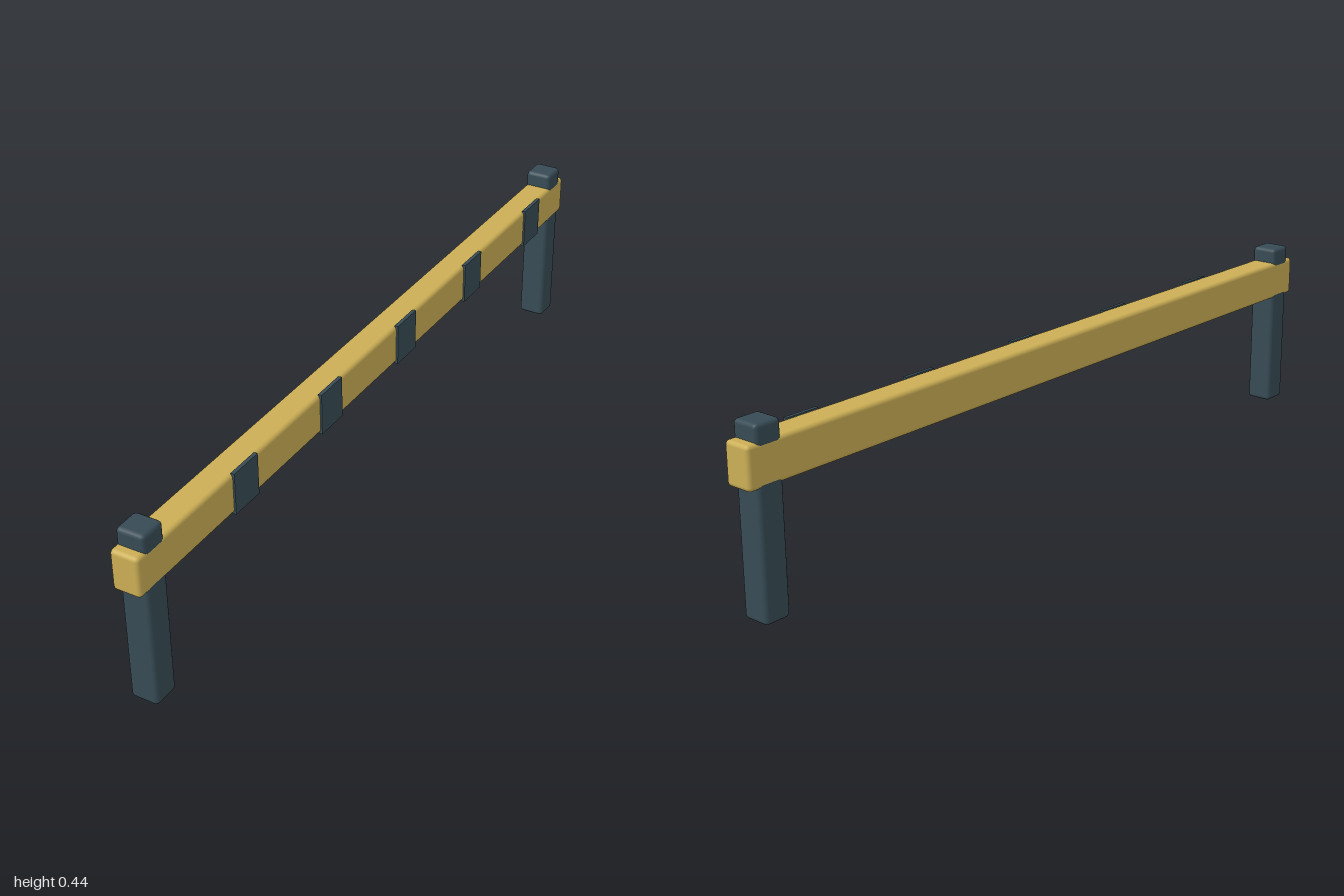
import * as THREE from 'three';
import { RoundedBoxGeometry } from 'three/addons/geometries/RoundedBoxGeometry.js';

export function createModel() {
  const model = new THREE.Group();
  model.name = 'barrierRail';

  const yellow = new THREE.MeshStandardMaterial({ color: 0xcbae55 });
  yellow.name = 'safety yellow';
  const slate = new THREE.MeshStandardMaterial({ color: 0x374b55 });
  slate.name = 'dark slate';

  const add = (name, geometry, material, x, y, z) => {
    const mesh = new THREE.Mesh(geometry, material);
    mesh.name = name;
    mesh.position.set(x, y, z);
    model.add(mesh);
  };

  const railX = -0.0025; // rail and posts sit slightly off centre, behind the stripes

  // Long horizontal rail, a hair wider than the posts it wraps
  add('rail', new RoundedBoxGeometry(0.07, 0.1, 2, 2, 0.01), yellow, railX, 0.351, 0);

  // Upright post near each end
  for (const side of [1, -1]) {
    const name = side > 0 ? 'frontPost' : 'backPost';
    add(name, new RoundedBoxGeometry(0.069, 0.44, 0.068, 2, 0.01), slate, railX, 0.22, side * 0.942);
  }

  // Evenly spaced stripe plates on the left face of the rail
  for (let i = 0; i < 5; i++) {
    add(`stripe${i + 1}`, new THREE.BoxGeometry(0.0095, 0.104, 0.09), slate, 0.0323, 0.351, 0.62 - i * 0.353);
  }

  return model;
}
